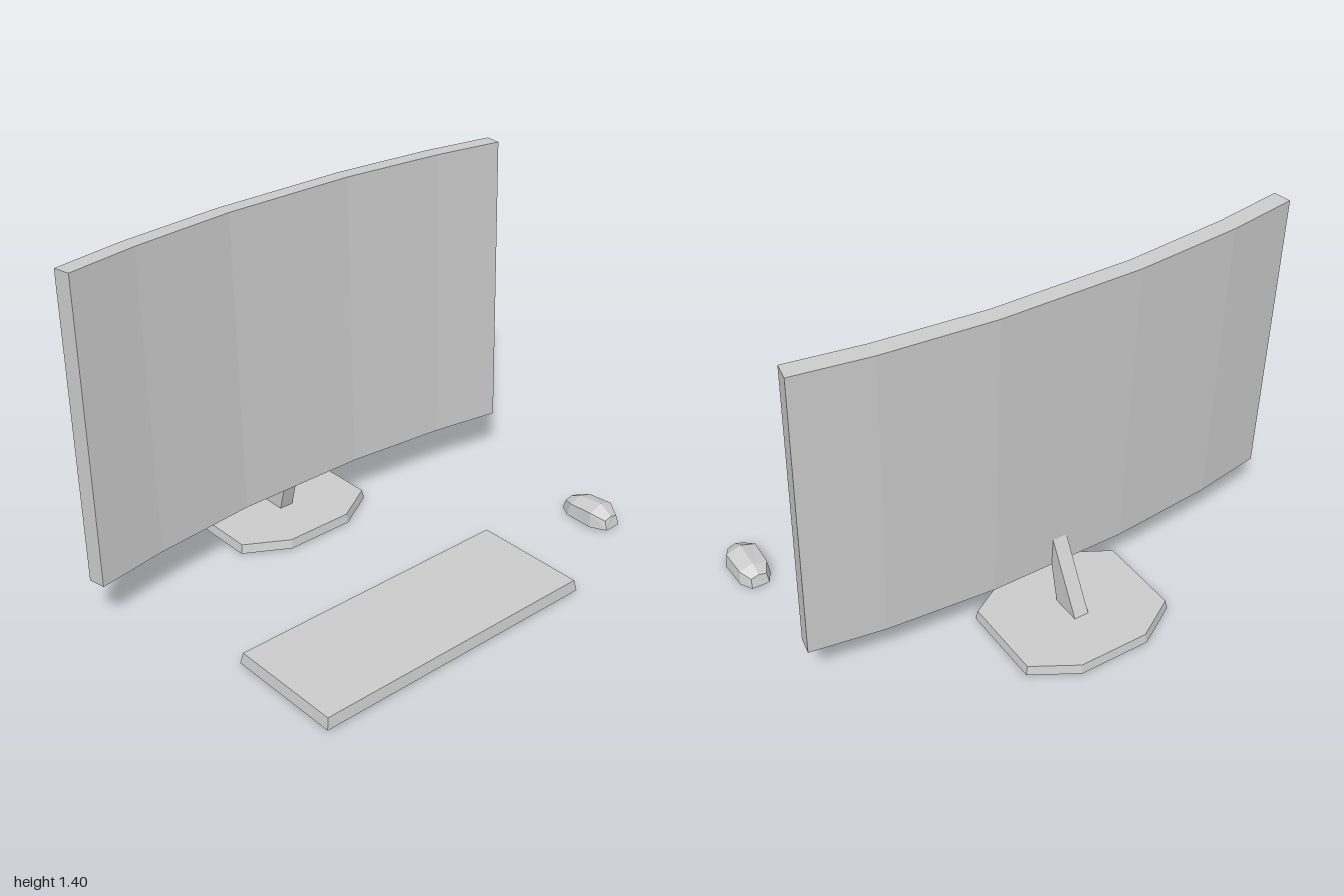
import * as THREE from 'three';

const material = new THREE.MeshStandardMaterial({ color: 0xcccccc, flatShading: true });

// Closed low-poly solid through a series of rings, capped at both ends.
// Rings run counterclockwise when looking back along the loft direction.
function loft(name, rings) {
  const pos = [];
  const tri = (a, b, c) => pos.push(...a, ...b, ...c);
  const n = rings[0].length;
  for (let i = 0; i < rings.length - 1; i++) {
    const p = rings[i], q = rings[i + 1];
    for (let j = 0; j < n; j++) {
      const k = (j + 1) % n;
      tri(p[j], p[k], q[k]);
      tri(p[j], q[k], q[j]);
    }
  }
  const first = rings[0], last = rings[rings.length - 1];
  for (let j = 1; j < n - 1; j++) {
    tri(first[0], first[j + 1], first[j]);
    tri(last[0], last[j], last[j + 1]);
  }
  const geometry = new THREE.BufferGeometry();
  geometry.setAttribute('position', new THREE.Float32BufferAttribute(pos, 3));
  geometry.computeVertexNormals();
  const mesh = new THREE.Mesh(geometry, material);
  mesh.name = name;
  return mesh;
}

// Flat slab with an [x, z] outline whose top edge is slightly drawn in.
function plate(name, outline, y0, y1, inset) {
  const xs = outline.map((p) => p[0]), zs = outline.map((p) => p[1]);
  const mid = (v) => (Math.min(...v) + Math.max(...v)) / 2;
  const half = (v) => (Math.max(...v) - Math.min(...v)) / 2;
  const cx = mid(xs), cz = mid(zs);
  const sx = 1 - inset / half(xs), sz = 1 - inset / half(zs);
  return loft(name, [
    outline.map(([x, z]) => [x, y0, z]),
    outline.map(([x, z]) => [cx + (x - cx) * sx, y1, cz + (z - cz) * sz]),
  ]);
}

export function createModel() {
  const model = new THREE.Group();
  model.name = 'desktopSet';

  // Curved screen: [back x, back z, front x, front z] at the top edge
  const half = [[0.28, -0.41, 0.275, -0.343], [0.71, -0.373, 0.7, -0.303], [1, -0.325, 0.988, -0.255]];
  const stations = [
    ...half.map(([bx, bz, fx, fz]) => [-bx, bz, -fx, fz]).reverse(),
    ...half,
  ];
  const lean = 0.042;
  model.add(loft('screen', stations.map(([bx, bz, fx, fz]) => [
    [bx, 0.193, bz + lean], [bx, 1.398, bz], [fx, 1.4, fz], [fx, 0.195, fz + lean],
  ])));

  // Eight-sided foot
  model.add(plate('standBase', [
    [-0.145, -0.19], [0.145, -0.19], [0.318, -0.29], [0.318, -0.635],
    [0.145, -0.738], [-0.145, -0.738], [-0.318, -0.635], [-0.318, -0.29],
  ], 0.004, 0.04, 0.007));

  // Tapering neck, passing through the foot and into the screen
  const neckRing = (y, front, back) =>
    [[-0.03, y, front], [0.03, y, front], [0.03, y, back], [-0.03, y, back]];
  model.add(loft('standNeck', [neckRing(0, -0.415, -0.547), neckRing(0.34, -0.33, -0.359)]));

  // Keyboard slab
  model.add(plate('keyboard', [
    [-0.742, 0.735], [0.483, 0.735], [0.483, 0.258], [-0.742, 0.258],
  ], 0.008, 0.052, 0.008));

  // Mouse: [z at the bottom, z above, half width, shoulder height, ridge height]
  const mouse = loft('mouse', [
    [0.303, 0.315, 0.036, 0.046, 0.054],
    [0.352, 0.362, 0.064, 0.06, 0.075],
    [0.475, 0.47, 0.068, 0.067, 0.088],
    [0.538, 0.526, 0.036, 0.045, 0.056],
  ].map(([z0, z1, w, ys, yt]) => [
    [-w, 0.008, z0], [w, 0.008, z0], [w * 0.9, ys, z1], [0, yt, z1], [-w * 0.9, ys, z1],
  ]));
  mouse.position.x = 0.917;
  model.add(mouse);

  return model;
}
